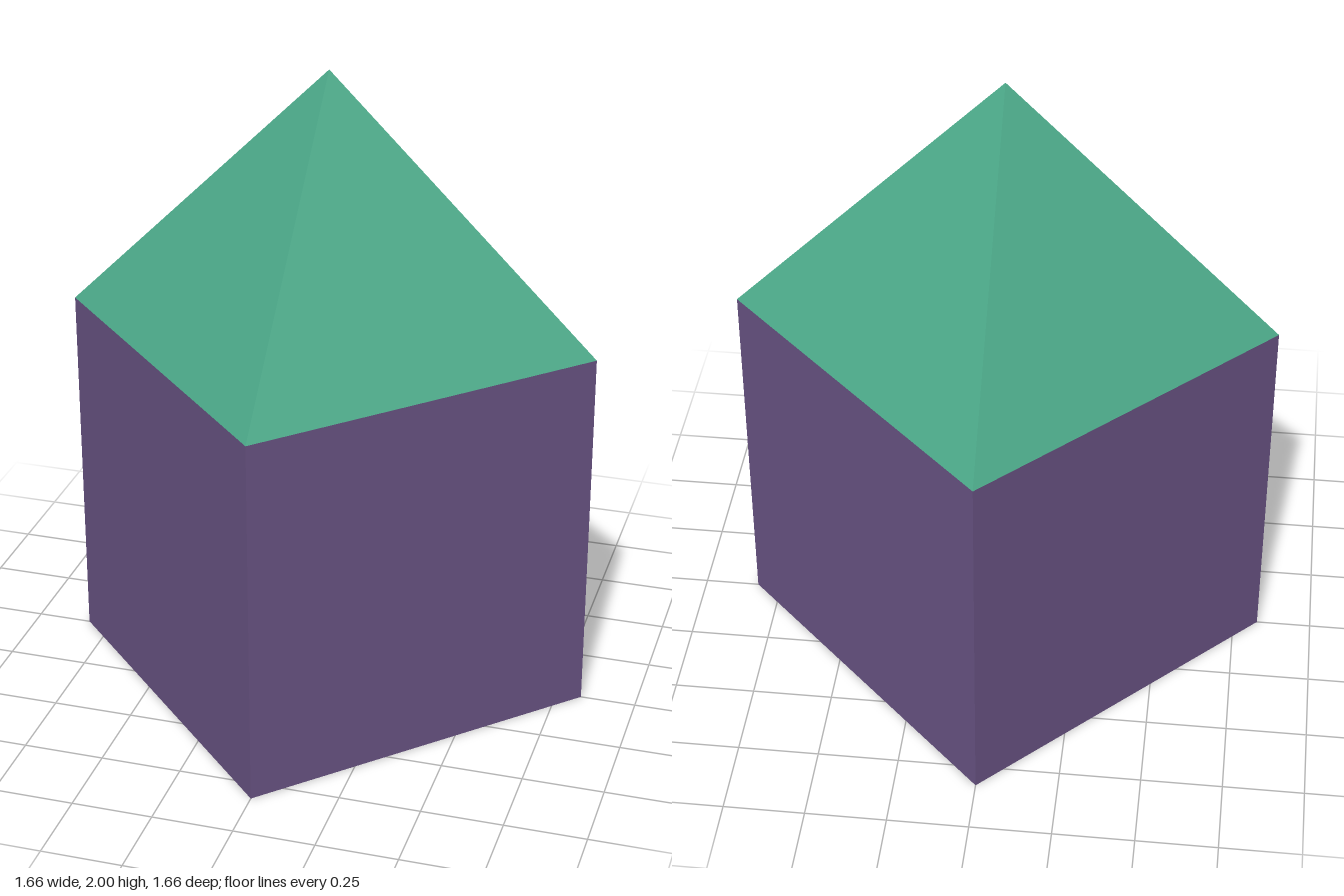
import * as THREE from 'three';

const RADIUS = 0.828; // half diagonal of the square plan
const WALL_HEIGHT = 1.172;

export function createModel() {
  const model = new THREE.Group();
  model.name = 'house';

  const purple = new THREE.MeshStandardMaterial({ color: 0x6a5485, flatShading: true });
  purple.name = 'purple';
  const green = new THREE.MeshStandardMaterial({ color: 0x4ba888, flatShading: true });
  green.name = 'green';

  // Square body with its corners on the x and z axes
  const body = new THREE.Mesh(new THREE.CylinderGeometry(RADIUS, RADIUS, WALL_HEIGHT, 4), purple);
  body.name = 'body';
  body.position.y = WALL_HEIGHT / 2;

  // Pyramid roof, flush with the walls, open underneath
  const roofHeight = 2 - WALL_HEIGHT;
  const roof = new THREE.Mesh(new THREE.ConeGeometry(RADIUS, roofHeight, 4, 1, true), green);
  roof.name = 'roof';
  roof.position.y = WALL_HEIGHT + roofHeight / 2;

  model.add(body, roof);
  return model;
}
